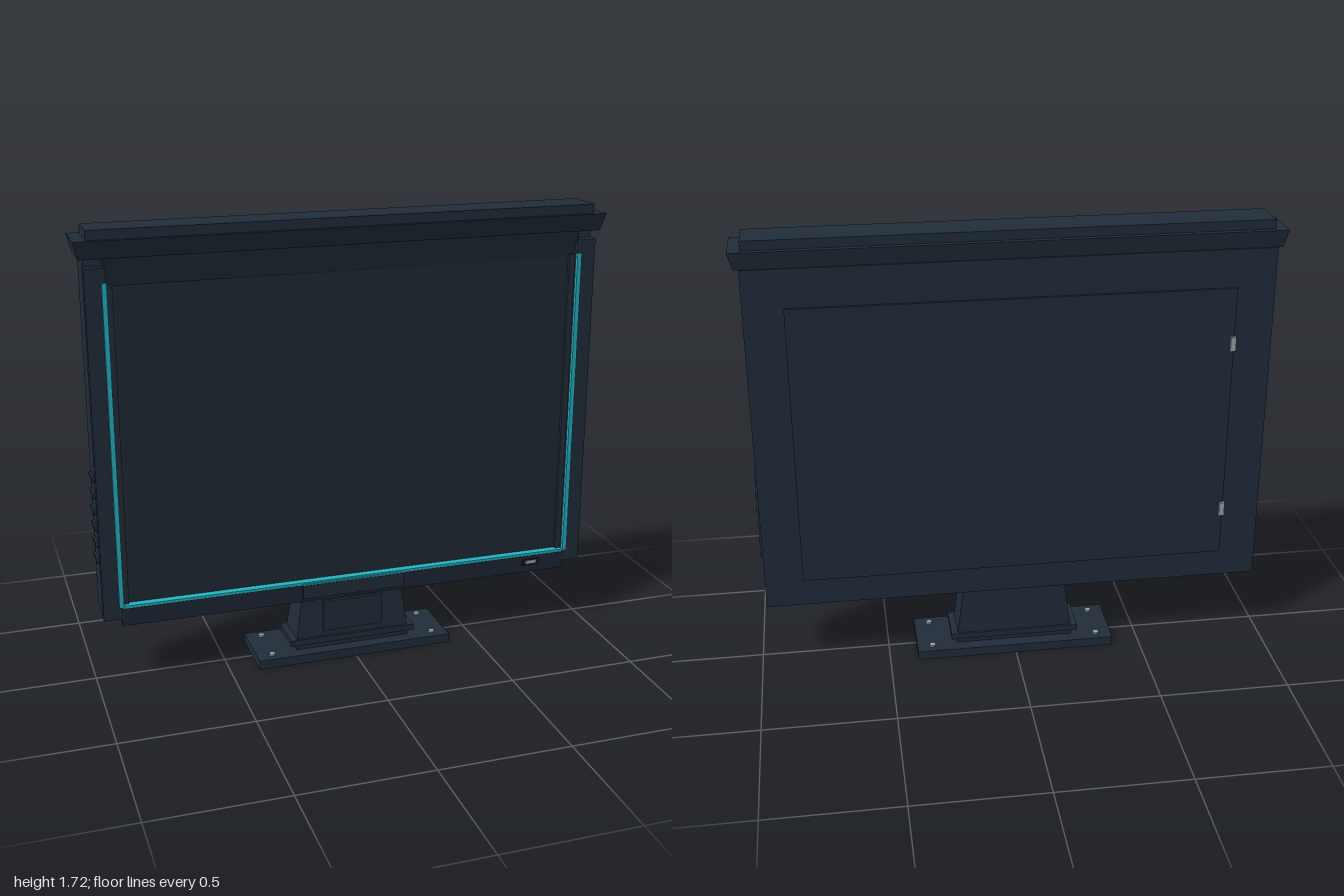
import * as THREE from 'three';

const mat = (name, color) => {
  const m = new THREE.MeshStandardMaterial({ color });
  m.name = name;
  return m;
};

export function createModel() {
  const model = new THREE.Group();
  model.name = 'monitor';
  const navy = mat('dark navy casing', 0x212d3b);
  const glass = mat('screen slate', 0x212a36);
  const cyan = mat('cyan glow', 0x25b5c6);
  const grey = mat('light grey metal', 0x9aa3a8);
  const black = mat('near black', 0x141b24);

  const add = (name, geo, material) => {
    const mesh = new THREE.Mesh(geo, material);
    mesh.name = name;
    model.add(mesh);
    return mesh;
  };
  // Box given by its extents
  const box = (name, material, [x0, x1], [y0, y1], [z0, z1]) =>
    add(name, new THREE.BoxGeometry(x1 - x0, y1 - y0, z1 - z0)
      .translate((x0 + x1) / 2, (y0 + y1) / 2, (z0 + z1) / 2), material);
  // Box whose top and bottom differ: half width, back z and front z at each end
  const taper = (name, material, [y0, y1], bottom, top) => {
    const geo = new THREE.BoxGeometry(2, 1, 1);
    const p = geo.attributes.position;
    for (let i = 0; i < p.count; i++) {
      const up = p.getY(i) > 0;
      const [w, zb, zf] = up ? top : bottom;
      p.setXYZ(i, p.getX(i) * w, up ? y1 : y0, p.getZ(i) > 0 ? zf : zb);
    }
    geo.computeVertexNormals();
    return add(name, geo, material);
  };

  // Base plate with screws, stepped collar and tapered neck
  box('basePlate', navy, [-0.39, 0.39], [0, 0.036], [-0.125, 0.125]);
  for (const x of [-0.33, 0.33]) for (const z of [-0.085, 0.085]) {
    add('baseScrew', new THREE.CylinderGeometry(0.012, 0.012, 0.008, 12).translate(x, 0.039, z), grey);
  }
  box('lowerCollar', navy, [-0.23, 0.23], [0.036, 0.056], [-0.075, 0.075]);
  box('upperCollar', navy, [-0.253, 0.253], [0.056, 0.08], [-0.084, 0.084]);
  taper('neck', navy, [0.08, 0.28], [0.227, -0.075, 0.075], [0.2, -0.065, 0.068]);
  box('neckPlate', navy, [-0.12, 0.12], [0.105, 0.23], [0.06, 0.083]);

  // Main casing and screen
  box('casing', navy, [-0.965, 0.965], [0.27, 1.62], [-0.086, 0.045]);
  box('screen', glass, [-0.872, 0.872], [0.31, 1.53], [0.045, 0.055]);

  // Bezel
  taper('topBezel', navy, [1.52, 1.62], [0.9, 0.04, 0.06], [0.9, 0.04, 0.078]);
  taper('bottomBezel', navy, [0.238, 0.312], [0.9, 0.045, 0.076], [0.9, 0.045, 0.086]);
  box('centreLip', navy, [-0.205, 0.205], [0.256, 0.311], [0.08, 0.092]);
  box('bottomGlow', cyan, [-0.895, 0.895], [0.312, 0.322], [0.05, 0.085]);
  box('centreGlow', cyan, [-0.205, 0.205], [0.311, 0.316], [0.08, 0.09]);
  for (const s of [-1, 1]) {
    const span = (a, b) => (s > 0 ? [a, b] : [-b, -a]);
    box('sideBezel', navy, span(0.893, 0.968), [0.27, 1.588], [0.045, 0.082]);
    box('innerReveal', navy, span(0.87, 0.893), [0.312, 1.53], [0.045, 0.068]);
    box('sideGlow', cyan, span(0.892, 0.909), [0.318, 1.536], [0.08, 0.091]);
    // Side vent ribs
    for (let i = 0; i < 6; i++) {
      const y = 0.484 + i * 0.0635;
      box('ventRib', navy, span(0.96, 0.974), [y - 0.01, y + 0.01], [-0.06, 0.014]);
    }
  }

  // Power indicator
  box('indicatorFrame', black, [0.718, 0.79], [0.272, 0.298], [0.08, 0.088]);
  box('indicatorLight', grey, [0.732, 0.776], [0.279, 0.292], [0.083, 0.09]);

  // Flared crown and cap
  taper('crown', navy, [1.62, 1.685], [0.983, -0.08, 0.084], [1, -0.093, 0.1]);
  box('crownCap', navy, [-0.955, 0.955], [1.685, 1.72], [-0.07, 0.082]);

  // Rear service panel with hinges
  box('rearPanel', navy, [-0.82, 0.82], [0.38, 1.475], [-0.096, -0.086]);
  for (const y of [0.572, 1.26]) {
    box('hinge', grey, [-0.825, -0.805], [y - 0.028, y + 0.028], [-0.106, -0.09]);
  }
  return model;
}
